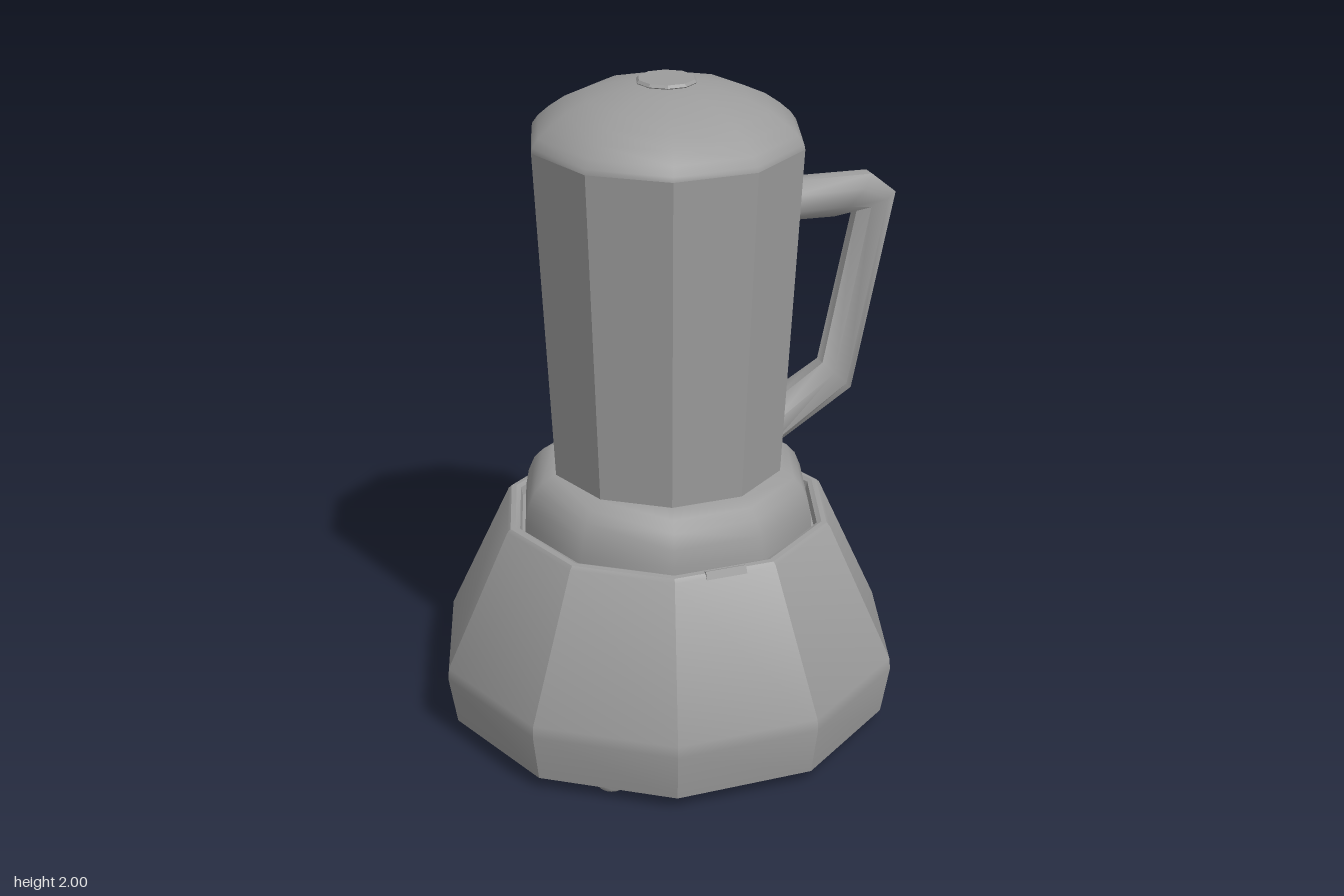
import * as THREE from 'three';
import { toCreasedNormals } from 'three/addons/utils/BufferGeometryUtils.js';

const SIDES = 10;
const material = new THREE.MeshStandardMaterial({ color: 0x9c9c9c });

// Turned part from [radius, height] pairs, with corners on the x axis.
function turned(name, profile, crease, sides = SIDES) {
  const points = profile.map(([r, y]) => new THREE.Vector2(r, y));
  let geometry = new THREE.LatheGeometry(points, sides, Math.PI / 2);
  if (crease) geometry = toCreasedNormals(geometry, crease);
  const mesh = new THREE.Mesh(geometry, material);
  mesh.name = name;
  return mesh;
}

// Tapered handle with flat outer and inner faces.
// Each station is [outer x, outer y, inner x, inner y, half width].
function handleGeometry(stations, sides) {
  const positions = [], index = [];
  const grow = 1 / Math.cos(Math.PI / sides);
  stations.forEach(([ox, oy, ix, iy, w]) => {
    for (let j = 0; j < sides; j++) {
      const a = ((j + 0.5) / sides) * Math.PI * 2;
      const t = (Math.cos(a) * grow) / 2;
      positions.push((ox + ix) / 2 + (ox - ix) * t, (oy + iy) / 2 + (oy - iy) * t, w * grow * Math.sin(a));
    }
  });
  for (let i = 0; i < stations.length - 1; i++) {
    for (let j = 0; j < sides; j++) {
      const a = i * sides + j, b = i * sides + (j + 1) % sides;
      index.push(a, b, a + sides, b, b + sides, a + sides);
    }
  }
  const geometry = new THREE.BufferGeometry();
  geometry.setAttribute('position', new THREE.Float32BufferAttribute(positions, 3));
  geometry.setIndex(index);
  return toCreasedNormals(geometry, 0.85);
}

export function createModel() {
  const model = new THREE.Group();
  model.name = 'coffeeMaker';

  // Flared base with an open groove inside its rounded rim
  model.add(turned('base', [
    [0, 0.04], [0.682, 0.04], [0.708, 0.19], [0.705, 0.225],
    [0.508, 0.65], [0.498, 0.66], [0.482, 0.662], [0.468, 0.656], [0.462, 0.63], [0.4, 0.63],
  ], 0.45));

  // Rounded collar between base and jug
  model.add(turned('collar', [
    [0.452, 0.63], [0.45, 0.67], [0.441, 0.72], [0.422, 0.765],
    [0.395, 0.795], [0.36, 0.814], [0.3, 0.82],
  ]));

  // Faceted jug, widening upwards
  model.add(turned('jug', [[0, 0.815], [0.352, 0.815], [0.407, 1.82]], 0.45));

  // Smooth domed lid with a flat knob
  model.add(turned('lid', [
    [0.407, 1.82], [0.404, 1.835], [0.386, 1.86], [0.352, 1.89], [0.305, 1.923],
    [0.24, 1.953], [0.16, 1.975], [0.08, 1.99], [0, 1.992],
  ]));
  model.add(turned('knob', [[0.078, 1.98], [0.09, 1.992], [0.083, 2], [0, 2]], 0.45));

  // Angular handle, on the left side
  const handle = new THREE.Mesh(handleGeometry([
    [0.36, 1.655, 0.36, 1.535, 0.062],
    [0.645, 1.647, 0.525, 1.527, 0.052],
    [0.727, 1.58, 0.6, 1.535, 0.04],
    [0.597, 0.965, 0.5, 1.06, 0.05],
    [0.33, 0.81, 0.32, 0.95, 0.074],
  ], 8), material);
  handle.name = 'handle';
  model.add(handle);

  // Small switch lying on the slope below the front rim
  const button = new THREE.Mesh(new THREE.BoxGeometry(0.125, 0.025, 0.025), material);
  button.name = 'switch';
  button.position.set(0.003, 0.651, 0.472);
  button.rotation.x = -0.41;
  model.add(button);

  // Four rounded feet
  for (const x of [-0.35, 0.35]) {
    for (const z of [-0.44, 0.455]) {
      const foot = turned('foot', [
        [0, 0], [0.038, 0.002], [0.046, 0.01], [0.046, 0.028], [0.04, 0.045],
      ], 0.9, 16);
      foot.position.set(x + 0.006, 0, z);
      model.add(foot);
    }
  }

  // Centre the whole width, handle included
  model.children.forEach((part) => { part.position.x -= 0.013; });
  return model;
}
